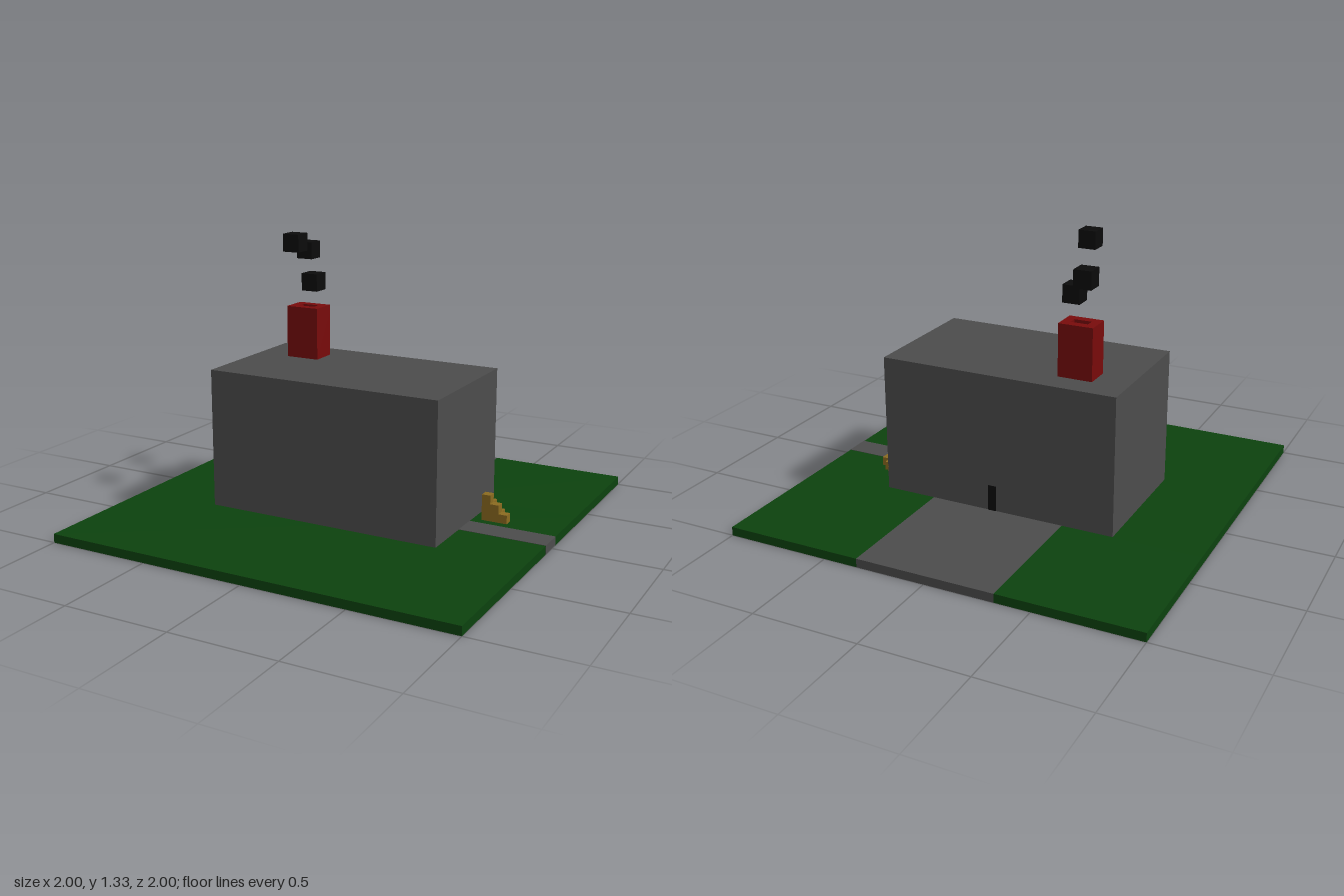
import * as THREE from 'three';

const U = 1 / 24; // one block of the building grid

const paint = (name, color) => {
  const m = new THREE.MeshStandardMaterial({ color });
  m.name = name;
  return m;
};

export function createModel() {
  const model = new THREE.Group();
  const grass = paint('grass green', 0x0c420e);
  const stone = paint('stone grey', 0x4c4c4c);
  const brick = paint('brick red', 0x780b0b);
  const wood = paint('wood gold', 0x8b6b20);
  const black = paint('soot black', 0x0b0b0b);

  // Box from its lower and upper corners, in blocks
  const block = (name, mat, [x0, y0, z0], [x1, y1, z1], parent = model) => {
    const geo = new THREE.BoxGeometry((x1 - x0) * U, (y1 - y0) * U, (z1 - z0) * U);
    const mesh = new THREE.Mesh(geo, mat);
    mesh.name = name;
    mesh.position.set((x0 + x1) / 2 * U, (y0 + y1) / 2 * U, (z0 + z1) / 2 * U);
    parent.add(mesh);
    return mesh;
  };

  // Lawn around the driveway
  const lawn = new THREE.Group();
  lawn.name = 'lawn';
  model.add(lawn);
  block('lawnFront', grass, [-24, 0, -8], [24, 1, 24], lawn);
  block('lawnBackLeft', grass, [8, 0, -24], [24, 1, -8], lawn);
  block('lawnBackRight', grass, [-24, 0, -24], [-8, 1, -8], lawn);

  // Driveway at the back, footpath at the side
  block('driveway', stone, [-8, 0, -24], [8, 1, -8]);
  block('footpath', stone, [14, 0.05, -1], [24.03, 1.04, 2]);

  // House and the narrow slot in its back wall
  block('house', stone, [-14, 1, -8], [14, 17, 8]);
  block('backSlot', black, [0, 1, -8.06], [1, 4, -8]);

  // Chimney with a shallow flue opening
  const chimney = new THREE.Group();
  chimney.name = 'chimney';
  model.add(chimney);
  block('chimneyStack', brick, [-10, 17, -5], [-6, 22, -2], chimney);
  const rect = (T, w, d) => new T([[-w, -d], [w, -d], [w, d], [-w, d]]
    .map(([x, y]) => new THREE.Vector2(x * U / 2, y * U / 2)));
  const rim = rect(THREE.Shape, 4, 3);
  rim.holes.push(rect(THREE.Path, 2, 1));
  const rimGeo = new THREE.ExtrudeGeometry(rim, { depth: U, bevelEnabled: false });
  rimGeo.rotateX(-Math.PI / 2);
  const rimMesh = new THREE.Mesh(rimGeo, brick);
  rimMesh.name = 'chimneyRim';
  rimMesh.position.set(-8 * U, 22 * U, -3.5 * U);
  chimney.add(rimMesh);
  block('flue', black, [-9, 22, -4], [-7, 22.1, -3], chimney);

  // Smoke puffs
  const smoke = new THREE.Group();
  smoke.name = 'smoke';
  model.add(smoke);
  for (const [x, y, z] of [[-8, 25, -4], [-11, 28, -8], [-8, 30, 0]]) {
    block('smokePuff', black, [x, y, z], [x + 2, y + 2, z + 2], smoke);
  }

  // Woodpile stepping down away from its tall corner
  const pile = new THREE.Group();
  pile.name = 'woodpile';
  model.add(pile);
  for (let i = 0; i < 3; i++) {
    for (let j = 0; i + j < 3; j++) {
      block('logStack', wood, [15 + i, 1, -3 - j], [16 + i, 4 - i - j, -2 - j], pile);
    }
  }

  return model;
}
